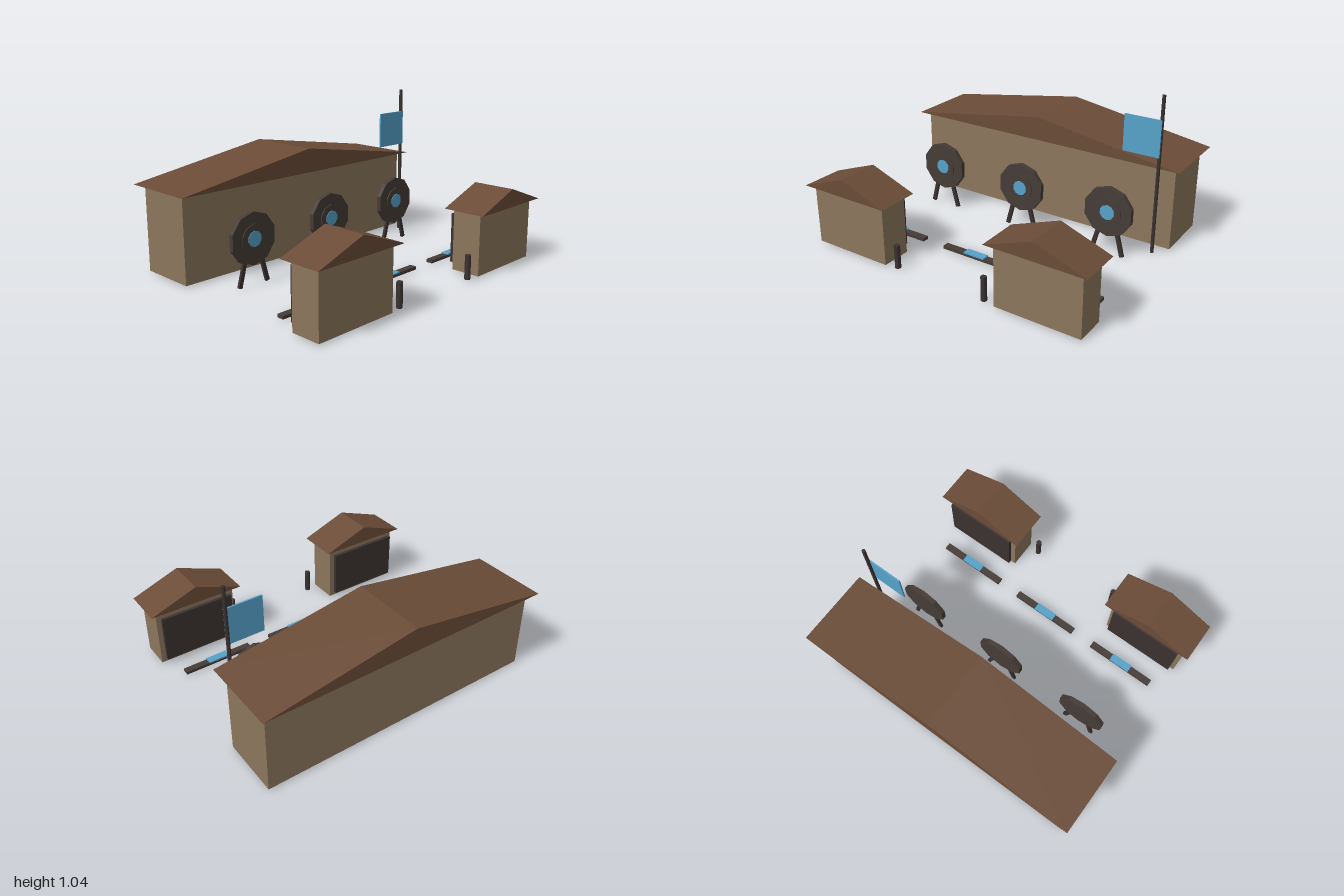
import * as THREE from 'three';

const mat = (name, color) => {
  const m = new THREE.MeshStandardMaterial({ color, flatShading: true });
  m.name = name;
  return m;
};

export function createModel() {
  const root = new THREE.Group();
  root.name = 'shootingRange';
  const wall = mat('tan wall', 0x8c765c);
  const roofing = mat('brown roof', 0x6b4c38);
  const dark = mat('dark wood', 0x463c37);
  const iron = mat('dark iron', 0x3a3230);
  const blue = mat('blue accent', 0x56a2c9);

  const add = (parent, name, geo, material, x, y, z) => {
    const m = new THREE.Mesh(geo, material);
    m.name = name;
    m.position.set(x, y, z);
    parent.add(m);
    return m;
  };
  const group = (name, x = 0, z = 0) => {
    const g = new THREE.Group();
    g.name = name;
    g.position.set(x, 0, z);
    root.add(g);
    return g;
  };
  const box = (w, h, d) => new THREE.BoxGeometry(w, h, d);

  // Gabled roof: triangle extruded along z, ridge running front to back
  const gable = (half, height, depth) => {
    const s = new THREE.Shape([
      new THREE.Vector2(-half, 0), new THREE.Vector2(half, 0), new THREE.Vector2(0, height)]);
    return new THREE.ExtrudeGeometry(s, { depth, bevelEnabled: false }).translate(0, 0, -depth / 2);
  };

  // Long hall at the back
  const hall = group('hall', 0, -0.562);
  add(hall, 'hallWalls', box(1.914, 0.555, 0.395), wall, 0, 0.2875, 0);
  add(hall, 'hallRoof', gable(1, 0.16, 0.517), roofing, 0, 0.566, 0);

  for (const side of [-1, 1]) {
    // Booth with a dark board facing the range
    const booth = group('booth', side * 0.68, 0.681);
    add(booth, 'boothWalls', box(0.555, 0.395, 0.196), wall, 0, 0.2075, 0);
    add(booth, 'boothRoof', gable(0.32, 0.117, 0.28), roofing, 0, 0.408, 0);
    add(booth, 'boothBoard', box(0.5, 0.318, 0.023), iron, 0, 0.205, -0.125);
    add(booth, 'floorPlate', box(0.12, 0.008, 0.08), iron, side * 0.1, 0.009, 0);

    // Short entrance post
    const post = new THREE.CylinderGeometry(0.019, 0.019, 0.155, 8);
    add(root, 'entrancePost', post, iron, side * 0.32, 0.0875, 0.757);
  }

  // Ten-sided disc facing front with a corner at the top
  const disc = (r, d) => new THREE.CylinderGeometry(r, r, d, 10).rotateX(Math.PI / 2).rotateZ(Math.PI);

  for (const x of [-0.64, 0, 0.64]) {
    // Target on two splayed legs
    const target = group('target', x, -0.119);
    add(target, 'targetDisc', disc(0.166, 0.031), dark, 0, 0.294, 0);
    add(target, 'targetRing', disc(0.093, 0.012), dark, 0, 0.294, 0.0165);
    add(target, 'bullseye', disc(0.05, 0.009), blue, 0, 0.294, 0.022);
    for (const side of [-1, 1]) {
      const leg = add(target, 'targetLeg', box(0.026, 0.2, 0.018), iron, side * 0.08, 0.101, 0);
      leg.rotation.z = side * 0.26;
    }

    // Firing line bar with a blue marker
    const bar = group('firingBar', x, 0.398);
    add(bar, 'barBeam', box(0.478, 0.02, 0.046), dark, 0, 0.019, 0);
    add(bar, 'barMarker', box(0.15, 0.009, 0.053), blue, 0, 0.0315, 0);
  }

  // Flagpole and flag
  add(root, 'flagpole', new THREE.CylinderGeometry(0.012, 0.012, 1.035, 8), iron, 0.88, 0.5275, -0.27);
  add(root, 'flag', box(0.24, 0.238, 0.01), blue, 0.765, 0.774, -0.258);

  return root;
}
